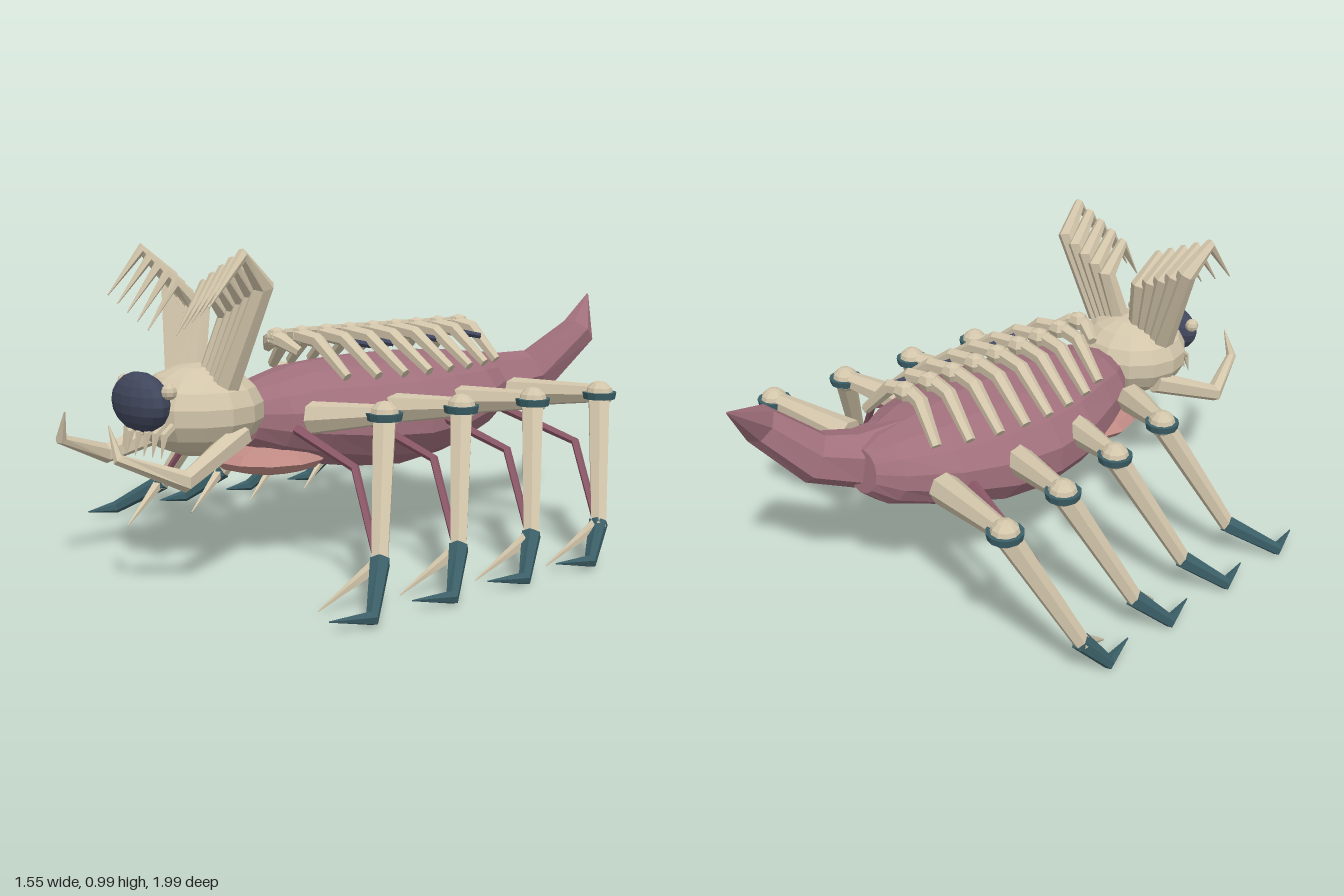
import * as THREE from 'three';

const V = (x, y, z) => new THREE.Vector3(x, y, z);
const mat = (name, color) => {
  const m = new THREE.MeshStandardMaterial({ color });
  m.name = name;
  return m;
};

// Faceted tube through points; each radius is a number or [across, high]
function loft(points, radii, sides) {
  const pos = [], idx = [], n = points.length;
  const p = points.map(a => V(...a));
  let u = null;
  p.forEach((c, i) => {
    const t = V(0, 0, 0);
    if (i > 0) t.add(c.clone().sub(p[i - 1]).normalize());
    if (i < n - 1) t.add(p[i + 1].clone().sub(c).normalize());
    t.normalize();
    if (!u) u = (Math.abs(t.y) > 0.9 ? V(0, 0, 1) : V(0, 1, 0)).cross(t);
    u = u.clone().addScaledVector(t, -u.dot(t)).normalize();
    const v = t.clone().cross(u);
    const [a, b] = [radii[i]].flat().concat(radii[i]).slice(0, 2);
    for (let j = 0; j < sides; j++) {
      const ang = ((j + 0.5) / sides) * Math.PI * 2;
      const q = c.clone().addScaledVector(u, Math.cos(ang) * a).addScaledVector(v, Math.sin(ang) * b);
      pos.push(q.x, q.y, q.z);
    }
  });
  const at = (i, j) => i * sides + (j % sides);
  for (let i = 0; i < n - 1; i++)
    for (let j = 0; j < sides; j++)
      idx.push(at(i, j), at(i, j + 1), at(i + 1, j + 1), at(i, j), at(i + 1, j + 1), at(i + 1, j));
  for (let j = 1; j < sides - 1; j++)
    idx.push(at(0, 0), at(0, j + 1), at(0, j), at(n - 1, 0), at(n - 1, j), at(n - 1, j + 1));
  const g = new THREE.BufferGeometry();
  g.setAttribute('position', new THREE.Float32BufferAttribute(pos, 3));
  g.setIndex(idx);
  return flat(g);
}

function flat(g) {
  const f = g.index ? g.toNonIndexed() : g;
  f.computeVertexNormals();
  return f;
}

export function createModel() {
  const root = new THREE.Group();
  root.name = 'creature';
  const bone = mat('bone', 0xd2c5aa);
  const flesh = mat('flesh', 0xa0707c);
  const throatPink = mat('throatPink', 0xc08a84);
  const sinew = mat('sinew', 0x8c5868);
  const teal = mat('teal', 0x3b5f67);
  const navy = mat('navy', 0x40465c);

  const add = (name, geo, m, parent = root) => {
    const mesh = new THREE.Mesh(geo, m);
    mesh.name = name;
    parent.add(mesh);
    return mesh;
  };
  const tube = (name, pts, radii, m, sides = 6, parent = root) => add(name, loft(pts, radii, sides), m, parent);
  const ball = (name, c, r, m, ws = 12, hs = 8, parent = root) =>
    add(name, flat(new THREE.SphereGeometry(1, ws, hs).scale(...r).translate(...c)), m, parent);

  // Body: z, centre height, half width, half height
  const body = [
    [-0.63, 0.49, 0.07, 0.07], [-0.57, 0.48, 0.14, 0.11], [-0.42, 0.465, 0.24, 0.145],
    [-0.24, 0.445, 0.3, 0.18], [-0.07, 0.435, 0.315, 0.19], [0.1, 0.44, 0.295, 0.18],
    [0.26, 0.45, 0.235, 0.16], [0.38, 0.455, 0.18, 0.125], [0.46, 0.46, 0.11, 0.09]];
  tube('body', body.map(r => [0, r[1], r[0]]), body.map(r => [r[2], r[3]]), flesh, 14);
  ball('throat', [0, 0.325, 0.36], [0.19, 0.052, 0.19], throatPink, 12, 6);

  // Crooked tail with a pointed tip
  tube('tail',
    [[0.03, 0.49, -0.46], [0.07, 0.495, -0.6], [0.13, 0.52, -0.71], [0.2, 0.66, -0.85], [0.11, 0.785, -1]],
    [0.115, 0.095, 0.085, 0.062, 0.003], flesh, 7);

  // Head, dark face lens and small eye knobs
  ball('head', [0, 0.5, 0.61], [0.205, 0.142, 0.2], bone, 14, 9);
  ball('faceLens', [0, 0.54, 0.805], [0.14, 0.09, 0.065], navy, 16, 10);
  for (const s of [1, -1]) ball('eyeKnob', [s * 0.138, 0.585, 0.785], [0.024, 0.024, 0.024], bone, 8, 6);

  // Hanging teeth below the lens
  for (let i = -4; i <= 4; i++) {
    const x = i * 0.029, z = 0.84 - Math.abs(i) * 0.012;
    tube('tooth', [[x, 0.48, z - 0.03], [x, 0.455, z], [x * 1.05, 0.39, z + 0.015]], [0.012, 0.012, 0.001], bone, 5);
  }

  // Spine: knobs and paired ribs along the back
  const ribSpan = [0.17, 0.215, 0.245, 0.26, 0.265, 0.26, 0.245, 0.21, 0.09];
  ribSpan.forEach((w, i) => {
    const z = -0.45 + i * 0.0965;
    ball('vertebra', [0, 0.7, z], [0.04, 0.033, 0.036], bone, 6, 4);
    for (const s of [1, -1])
      tube('rib', [[0, 0.7, z + 0.01], [s * w * 0.42, 0.69, z], [s * w, i === 8 ? 0.66 : 0.585, z - 0.025]],
        [0.026, 0.025, 0.017], bone, 6);
  });
  // Dark slivers between the ribs on one side
  for (const z of [-0.41, -0.22, -0.02, 0.07])
    tube('spineSliver', [[0.09, 0.68, z + 0.035], [0.12, 0.665, z - 0.035]], [0.012, 0.01], navy, 5);

  for (const s of [1, -1]) {
    // Crown fan of hooked fingers
    for (let i = 0; i < 5; i++) {
      const k = i / 4, bx = s * (0.04 + 0.115 * k), px = s * (0.085 + 0.215 * k), py = 0.89 + 0.095 * k;
      tube('crownFinger',
        [[bx, 0.59, 0.6], [px * 0.92, py - 0.1, 0.55], [px, py - 0.01, 0.635], [px * 1.03, py - 0.15, 0.64 + 0.09 + 0.02 * k]],
        [0.038, 0.033, 0.021, 0.002], bone, 6);
    }
    // Mandible
    tube('mandible',
      [[s * 0.16, 0.44, 0.56], [s * 0.25, 0.345, 0.8], [s * 0.19, 0.42, 0.975], [s * 0.145, 0.51, 0.98]],
      [0.04, 0.032, 0.018, 0.002], bone, 6);

    // Legs from front to back
    for (let i = 0; i < 4; i++) {
      const leg = new THREE.Group();
      leg.name = (s > 0 ? 'left' : 'right') + 'Leg' + (i + 1);
      root.add(leg);
      const kx = 0.45 + i * 0.037, kz = 0.245 - i * 0.27;
      const hz = [0.35, 0.06, -0.215, -0.5][i];
      const ax = 0.635 + i * 0.028, az = kz + 0.165, cz = 0.55 - i * 0.285;
      tube('upperLeg', [[s * 0.23, 0.475, hz], [s * kx, 0.505, kz]], [0.052, 0.03], bone, 7, leg);
      add('kneeRing', flat(new THREE.CylinderGeometry(0.056, 0.052, 0.022, 12).translate(s * kx, 0.5, kz)), teal, leg);
      ball('kneeCap', [s * kx, 0.503, kz], [0.046, 0.044, 0.046], bone, 10, 6, leg);
      tube('lowerLeg', [[s * kx, 0.5, kz], [s * ax, 0.115, az]], [0.038, 0.026], bone, 6, leg);
      tube('claw',
        [[s * (ax - 0.008), 0.13, az - 0.008], [s * 0.755, 0.028, cz - 0.02], [s * 0.725, 0.035, cz + 0.1]],
        [0.031, 0.022, 0.002], teal, 6, leg);
      tube('toeSpike', [[s * ax, 0.13, az], [s * (ax - 0.065), 0.005, az + 0.165]], [0.022, 0.002], bone, 5, leg);
      tube('tendon',
        [[s * 0.24, 0.45, kz + 0.17], [s * kx, 0.36, kz + 0.11], [s * (ax - 0.01), 0.13, az]],
        [0.017, 0.014, 0.012], sinew, 5, leg);
    }
  }
  return root;
}
